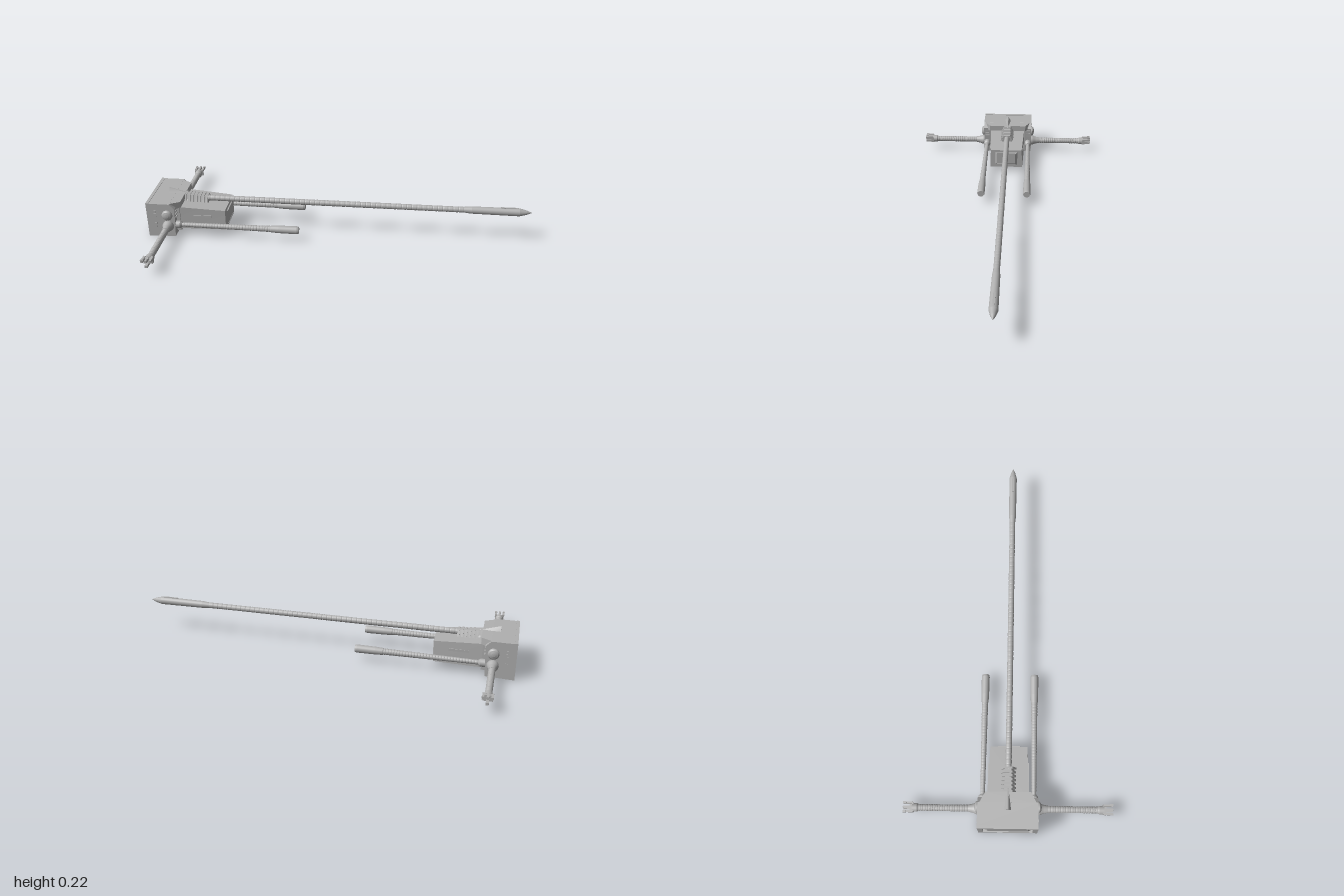
import * as THREE from 'three';

const grey = new THREE.MeshStandardMaterial({ color: 0xb0b0b0 });

function add(parent, name, geometry, x = 0, y = 0, z = 0) {
  const mesh = new THREE.Mesh(geometry, grey);
  mesh.name = name;
  mesh.position.set(x, y, z);
  parent.add(mesh);
  return mesh;
}

const box = (parent, name, w, h, d, x, y, z) => add(parent, name, new THREE.BoxGeometry(w, h, d), x, y, z);

// Box between two x positions, each end given as [x, yMin, yMax, bottomHalfWidth, topHalfWidth]
function taperedBox(a, b) {
  const g = new THREE.BoxGeometry(1, 1, 1);
  const p = g.attributes.position;
  for (let i = 0; i < p.count; i++) {
    const [x, y0, y1, wb, wt] = p.getX(i) < 0 ? a : b;
    const up = p.getY(i) > 0;
    p.setXYZ(i, x, up ? y1 : y0, Math.sign(p.getZ(i)) * (up ? wt : wb));
  }
  g.computeVertexNormals();
  return g;
}

// Turned shape from [distance, radius] pairs, every edge kept crisp
function turned(points, sides = 20) {
  const out = [];
  points.forEach(([t, r], i) => {
    const v = new THREE.Vector2(r, t);
    out.push(v);
    if (i > 0 && i < points.length - 1) out.push(v.clone());
  });
  return new THREE.LatheGeometry(out, sides);
}

// Ringed tube section
function rings(t0, t1, r0, r1, count) {
  const out = [];
  const step = (t1 - t0) / count;
  for (let i = 0; i < count; i++) {
    const r = r0 + (r1 - r0) * i / count;
    const t = t0 + i * step;
    out.push([t, r * 0.92], [t + step * 0.2, r], [t + step * 0.8, r]);
  }
  return out;
}

function rectangle(w0, w1, h0, h1, Type = THREE.Shape) {
  const s = new Type();
  s.moveTo(w0, h0); s.lineTo(w1, h0); s.lineTo(w1, h1); s.lineTo(w0, h1); s.closePath();
  return s;
}

// Rectangular frame facing along x, lying between x and x + depth
function frame(parent, name, x, depth, w, y0, y1, iw, iy0, iy1) {
  const s = rectangle(-w, w, y0, y1);
  s.holes.push(rectangle(-iw, iw, iy0, iy1, THREE.Path));
  const g = new THREE.ExtrudeGeometry(s, { depth, bevelEnabled: false });
  g.rotateY(Math.PI / 2);
  return add(parent, name, g, x);
}

function buildCabinet(parent) {
  // Housing whose back leans and is chamfered at the upper corners
  const side = new THREE.Shape();
  [[-0.985, 0], [-0.857, 0.005], [-0.848, 0.165], [-0.875, 0.193], [-0.985, 0.193]]
    .forEach(([x, y], i) => (i ? side.lineTo(x, y) : side.moveTo(x, y)));
  const g = new THREE.ExtrudeGeometry(side, { depth: 0.294, bevelEnabled: false });
  add(parent, 'housing', g, 0, 0, -0.147);
  add(parent, 'upperBack', taperedBox([-0.88, 0.15, 0.1928, 0.14, 0.14], [-0.825, 0.16, 0.192, 0.11, 0.11]));

  // Screen and its surround
  frame(parent, 'bezel', -1, 0.016, 0.147, 0, 0.195, 0.122, 0.022, 0.173);
  add(parent, 'screen', taperedBox([-0.996, 0.04, 0.155, 0.1, 0.1], [-0.984, 0.024, 0.171, 0.12, 0.12]));

  // Tapered rear casing with a surround and end panel
  frame(parent, 'backFrame', -0.856, 0.022, 0.11, 0.02, 0.165, 0.1, 0.03, 0.156);
  add(parent, 'rearCasing', taperedBox([-0.86, 0.03, 0.158, 0.105, 0.104], [-0.595, 0.03, 0.14, 0.096, 0.092]));
  add(parent, 'endPanel', taperedBox([-0.597, 0.045, 0.128, 0.07, 0.07], [-0.588, 0.055, 0.118, 0.054, 0.054]));
  for (const y of [0.049, 0.121]) box(parent, 'endGrip', 0.012, 0.006, 0.11, -0.594, y, 0);

  for (const s of [1, -1]) {
    for (const y of [0.115, 0.132, 0.149]) {
      box(parent, 'backVent', 0.01, 0.007, 0.024, -0.85, y, s * 0.127);
      box(parent, 'sideButton', 0.012, 0.009, 0.006, -0.955, y, s * 0.148);
    }
    box(parent, 'sideButton', 0.012, 0.03, 0.006, -0.955, 0.07, s * 0.148);
    box(parent, 'casingSlot', 0.1, 0.012, 0.006, -0.72, 0.105, s * 0.099);
    // Round side dial
    const dial = add(parent, 'sideDial', turned([[0, 0.028], [0.008, 0.028], [0.014, 0.022], [0.018, 0.01], [0.019, 0]]),
      -0.89, 0.13, s * 0.146);
    dial.rotation.x = s * Math.PI / 2;
  }
}

function buildArm(parent, s) {
  const arm = new THREE.Group();
  arm.name = s > 0 ? 'frontArm' : 'backArm';
  arm.position.set(-0.89, 0.067, s * 0.145);
  arm.rotation.x = s * Math.PI / 2;
  parent.add(arm);
  add(arm, 'sleeve', turned([[0, 0.03], [0.012, 0.029], [0.03, 0.022], [0.055, 0.017],
    ...rings(0.055, 0.3, 0.0168, 0.0165, 20), [0.3, 0.017], [0.306, 0.021], [0.33, 0.021], [0.335, 0]]));
  // Three fingers opposite a thumb; local z runs vertically
  const up = -s;
  for (const x of [-0.02, 0, 0.02]) {
    box(arm, 'finger', 0.011, 0.045, 0.012, x, 0.35, up * 0.014);
    box(arm, 'fingerTip', 0.009, 0.016, 0.011, x * 1.12, 0.366, up * 0.017);
  }
  box(arm, 'palm', 0.046, 0.018, 0.03, 0, 0.332, 0);
  box(arm, 'thumb', 0.014, 0.048, 0.013, 0, 0.351, -up * 0.012);
}

function buildLeg(parent, s) {
  const leg = add(parent, s > 0 ? 'frontLeg' : 'backLeg', turned([[0, 0], [0, 0.02], [0.025, 0.02], [0.035, 0.012],
    ...rings(0.035, 0.51, 0.0115, 0.0165, 32), [0.51, 0.018], [0.55, 0.02], [0.645, 0.021], [0.655, 0.018], [0.655, 0]]),
    -0.855, 0.067, s * 0.128);
  leg.rotation.z = -Math.PI / 2;
}

function buildPole(parent) {
  // Long ringed pole with a pointed head
  const pole = add(parent, 'pole', turned([[0, 0], [0, 0.013], ...rings(0, 1.5, 0.0155, 0.0155, 56),
    [1.5, 0.015], [1.54, 0.019], [1.77, 0.021], [1.785, 0.021], [1.82, 0.012], [1.85, 0]]), -0.85, 0.166, 0);
  pole.rotation.z = -Math.PI / 2;
  box(parent, 'headClip', 0.08, 0.008, 0.01, 0.88, 0.185, 0);

  // Ridged clamp holding the pole, with a raised spur at its end
  add(parent, 'clampSpur', taperedBox([-0.912, 0.185, 0.218, 0.02, 0.002], [-0.8, 0.155, 0.185, 0.034, 0.004]));
  add(parent, 'clampBase', taperedBox([-0.85, 0.15, 0.19, 0.034, 0.018], [-0.7, 0.148, 0.18, 0.03, 0.014]));
  for (let i = 0; i < 7; i++) {
    const x = -0.825 + i * 0.019;
    add(parent, 'clampRib', taperedBox([x, 0.153, 0.191 - i * 0.001, 0.038, 0.02], [x + 0.01, 0.153, 0.19 - i * 0.001, 0.038, 0.02]));
  }
}

export function createModel() {
  const model = new THREE.Group();
  model.name = 'screenRobot';
  buildCabinet(model);
  for (const s of [1, -1]) {
    buildArm(model, s);
    buildLeg(model, s);
  }
  buildPole(model);
  return model;
}
